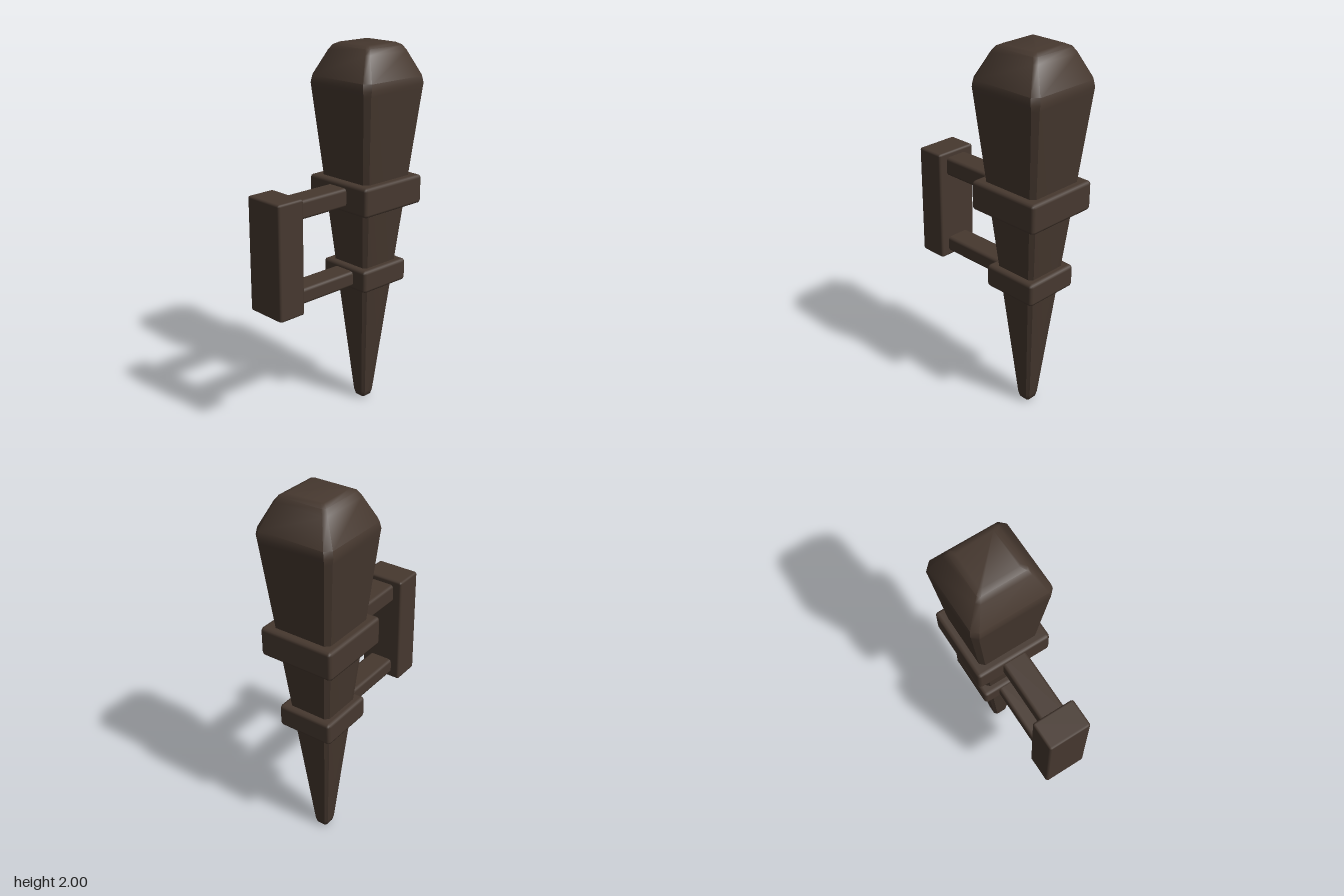
import * as THREE from 'three';
import { toCreasedNormals } from 'three/addons/utils/BufferGeometryUtils.js';
import { RoundedBoxGeometry } from 'three/addons/geometries/RoundedBoxGeometry.js';

const AXIS_X = 0.24; // centre line of the tapered shaft

// Square loft with chamfered corners; rows are [height, half width, chamfer]
function squareLoft(rows) {
  const pos = [], index = [], n = 8;
  for (const [y, h, c] of rows) {
    const k = h - c;
    // counter-clockwise seen from above
    for (const [x, z] of [[h, k], [h, -k], [k, -h], [-k, -h], [-h, -k], [-h, k], [-k, h], [k, h]]) pos.push(x, y, z);
  }
  for (let i = 0; i < rows.length - 1; i++) {
    for (let j = 0; j < n; j++) {
      const a = i * n + j, b = i * n + (j + 1) % n;
      index.push(a, b, b + n, a, b + n, a + n);
    }
  }
  // End caps
  const top = (rows.length - 1) * n;
  for (let j = 1; j < n - 1; j++) {
    index.push(0, j + 1, j);
    index.push(top, top + j, top + j + 1);
  }
  const g = new THREE.BufferGeometry();
  g.setAttribute('position', new THREE.Float32BufferAttribute(pos, 3));
  g.setIndex(index);
  return toCreasedNormals(g, 0.7);
}

export function createModel() {
  const group = new THREE.Group();
  const wood = new THREE.MeshStandardMaterial({ color: 0x46382f });
  wood.name = 'dark wood';

  const add = (name, geometry, x, y) => {
    const mesh = new THREE.Mesh(geometry, wood);
    mesh.name = name;
    mesh.position.set(x, y, 0);
    group.add(mesh);
  };
  const block = (name, x0, x1, y0, y1, depth, bevel) =>
    add(name, new RoundedBoxGeometry(x1 - x0, y1 - y0, depth, 1, bevel), (x0 + x1) / 2, (y0 + y1) / 2);

  // Tapered shaft with blunt tip and sloped head
  add('shaft', squareLoft([
    [0, 0.018, 0.006], [0.012, 0.034, 0.011], [0.045, 0.043, 0.014],
    [1.77, 0.212, 0.026], [1.8, 0.217, 0.03], [1.835, 0.211, 0.03],
    [1.96, 0.149, 0.018], [1.987, 0.13, 0.014], [2, 0.104, 0.01],
  ]), AXIS_X, 0);

  // Collars around the shaft
  block('upperCollar', AXIS_X - 0.209, AXIS_X + 0.209, 1.158, 1.315, 0.418, 0.018);
  block('lowerCollar', AXIS_X - 0.157, AXIS_X + 0.157, 0.718, 0.842, 0.314, 0.018);

  // Arms joining the collars to the wall plate
  block('upperArm', -0.34, 0.12, 1.19, 1.29, 0.136, 0.016);
  block('lowerArm', -0.34, 0.15, 0.738, 0.822, 0.136, 0.016);

  // Wall plate
  block('wallPlate', -0.46, -0.302, 0.71, 1.318, 0.234, 0.012);

  return group;
}
